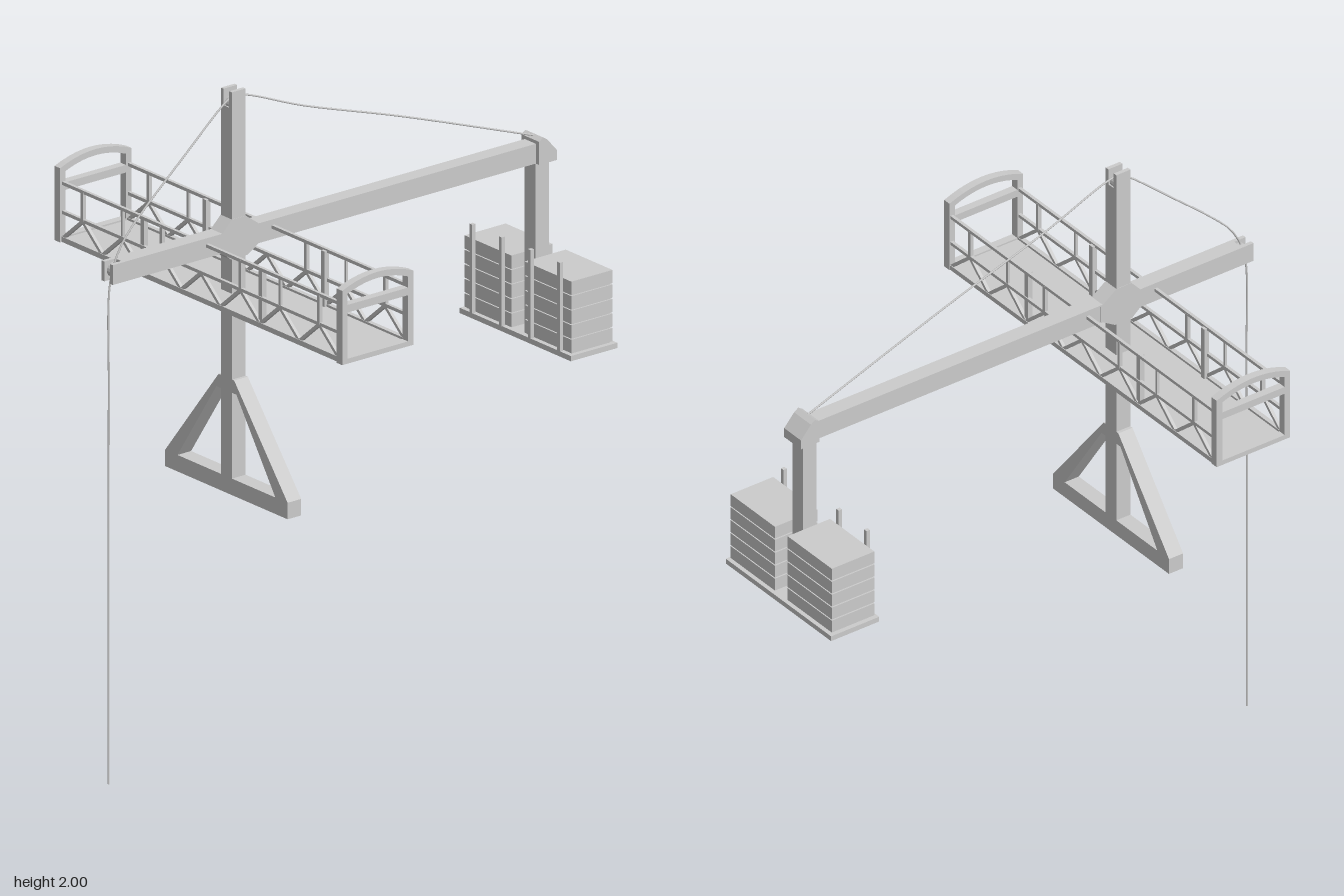
import * as THREE from 'three';

const mat = new THREE.MeshStandardMaterial({ color: 0xcccccc, flatShading: true });
const smooth = new THREE.MeshStandardMaterial({ color: 0xcccccc });
const MAST_Z = 0.37;

function add(parent, name, geo, material = mat) {
  const mesh = new THREE.Mesh(geo, material);
  mesh.name = name;
  parent.add(mesh);
  return mesh;
}

// Box given by its minimum and maximum on each axis
function box(parent, name, x0, x1, y0, y1, z0, z1) {
  const m = add(parent, name, new THREE.BoxGeometry(x1 - x0, y1 - y0, z1 - z0));
  m.position.set((x0 + x1) / 2, (y0 + y1) / 2, (z0 + z1) / 2);
  return m;
}

// Square bar in an x-y plane between two points
function bar(parent, name, ax, ay, bx, by, z, t) {
  const m = add(parent, name, new THREE.BoxGeometry(Math.hypot(bx - ax, by - ay), t, t));
  m.position.set((ax + bx) / 2, (ay + by) / 2, z);
  m.rotation.z = Math.atan2(by - ay, bx - ax);
}

const polygon = (pts) => new THREE.Shape(pts.map(([a, b]) => new THREE.Vector2(a, b)));

function extrude(shape, depth) {
  return new THREE.ExtrudeGeometry(shape, { depth, bevelEnabled: false, curveSegments: 10 })
    .translate(0, 0, -depth / 2);
}

// Profile drawn as (z, y), extruded along x
const sideExtrude = (shape, depth) => extrude(shape, depth).rotateY(-Math.PI / 2);

function sheave(parent, y, z, r) {
  const m = add(parent, 'sheave', new THREE.CylinderGeometry(r, r, 0.018, 16));
  m.rotation.z = Math.PI / 2;
  m.position.set(0, y, z);
}

function buildMast() {
  const g = new THREE.Group();
  g.name = 'mast';
  box(g, 'mastPost', -0.025, 0.025, 0.78, 1.95, MAST_Z - 0.025, MAST_Z + 0.025);
  for (const s of [-1, 1]) {
    const c = box(g, 'mastTopCheek', -0.006, 0.006, 1.95, 2, MAST_Z - 0.025, MAST_Z + 0.025);
    c.position.x = s * 0.019;
  }
  sheave(g, 1.957, MAST_Z, 0.022);

  // Triangular foot with two openings
  const foot = polygon([[-0.275, 0.78], [0.275, 0.78], [0.275, 0.83], [0.035, 1.13], [-0.035, 1.13], [-0.275, 0.83]]);
  for (const s of [-1, 1]) {
    foot.holes.push(polygon([[s * 0.025, 0.83], [s * 0.22, 0.83], [s * 0.045, 1.09], [s * 0.025, 1.09]]));
  }
  add(g, 'footFrame', extrude(foot, 0.0498)).position.z = MAST_Z;

  // Gussets joining mast and beam
  const gusset = polygon([[-0.08, 1.575], [-0.025, 1.615], [0.025, 1.615], [0.065, 1.575],
    [0.065, 1.525], [0.03, 1.495], [-0.03, 1.495], [-0.08, 1.525]]);
  add(g, 'mastGusset', sideExtrude(gusset, 0.052)).position.z = MAST_Z;
  return g;
}

function buildBeam() {
  const g = new THREE.Group();
  g.name = 'boom';
  box(g, 'boomBeam', -0.025, 0.025, 1.52, 1.58, -0.75, 0.79);
  for (const s of [-1, 1]) {
    const c = box(g, 'boomTipCheek', -0.006, 0.006, 1.52, 1.58, 0.79, 0.83);
    c.position.x = s * 0.019;
  }
  sheave(g, 1.552, 0.802, 0.022);

  // Rear corner cap and hanging post
  const cap = polygon([[-0.715, 1.52], [-0.715, 1.59], [-0.73, 1.6], [-0.745, 1.59], [-0.78, 1.55], [-0.78, 1.52]]);
  add(g, 'rearCap', sideExtrude(cap, 0.08));
  box(g, 'rearPost', -0.025, 0.025, 1.01, 1.55, -0.762, -0.714);
  return g;
}

function buildCounterweights() {
  const g = new THREE.Group();
  g.name = 'counterweights';
  box(g, 'tray', -0.25, 0.25, 1, 1.016, -0.83, -0.66);
  for (const s of [-1, 1]) {
    for (let i = 0; i < 5; i++) {
      const y = 1.016 + i * 0.044;
      const slab = box(g, 'weightSlab', -0.105, 0.105, y + 0.004, y + 0.044, -0.82, -0.67);
      const gap = box(g, 'weightSpacer', -0.1, 0.1, y, y + 0.004, -0.815, -0.675);
      slab.position.x = gap.position.x = s * 0.135;
    }
    for (const x of [0.065, 0.197]) {
      box(g, 'retainingRod', s * x - 0.006, s * x + 0.006, 1.016, 1.285, -0.67, -0.658);
    }
  }
  return g;
}

function buildPlatform() {
  const g = new THREE.Group();
  g.name = 'workPlatform';
  box(g, 'floor', -0.64, 0.64, 1.38, 1.39, 0.24, 0.49);

  // Trussed railings along both long sides
  const pitch = 1.24 / 7;
  for (const z of [0.245, 0.485]) {
    box(g, 'bottomRail', -0.63, 0.63, 1.382, 1.397, z - 0.007, z + 0.007);
    for (const y of [1.47, 1.558]) bar(g, 'rail', -0.63, y, 0.63, y, z, 0.01);
    for (let i = 0; i < 7; i++) {
      const x = (i - 3) * pitch;
      bar(g, 'brace', x - pitch / 2, 1.392, x, 1.468, z, 0.01);
      bar(g, 'brace', x, 1.468, x + pitch / 2, 1.392, z, 0.01);
      if (i % 2 === 0 || i === 3) continue;
      bar(g, 'railPost', x, 1.47, x, 1.558, z, 0.008);
    }
    for (const x of [-3, -1, 1, 3].map((k) => k * pitch)) bar(g, 'railPost', x, 1.47, x, 1.558, z, 0.011);
    for (const x of [-1.5 * pitch, 1.5 * pitch]) {
      bar(g, 'mainPost', x, 1.39, x, 1.558, z + (z < MAST_Z ? 0.006 : -0.006), 0.016);
    }
  }

  // End frames with an arched top
  const end = new THREE.Shape();
  end.moveTo(-0.13, 1.38).lineTo(0.13, 1.38).lineTo(0.13, 1.605);
  end.quadraticCurveTo(0, 1.66, -0.13, 1.605).closePath();
  end.holes.push(polygon([[-0.11, 1.395], [0.11, 1.395], [0.11, 1.535], [-0.11, 1.535]]));
  const arch = new THREE.Path();
  arch.moveTo(-0.11, 1.558).lineTo(0.11, 1.558).lineTo(0.11, 1.592);
  arch.quadraticCurveTo(0, 1.636, -0.11, 1.592).closePath();
  end.holes.push(arch);
  for (const s of [-1, 1]) {
    add(g, 'endFrame', sideExtrude(end, 0.025)).position.set(s * 0.634, 0, MAST_Z - 0.003);
  }
  return g;
}

// Cable from the ground over the boom tip and mast head to the rear cap
function buildCable() {
  const g = new THREE.Group();
  g.name = 'cable';
  const spans = [
    [[0, 0.825], [0.8, 0.825], [1.2, 0.824], [1.5, 0.822], [1.575, 0.803], [1.64, 0.765],
      [1.71, 0.695], [1.84, 0.545], [1.955, 0.41], [1.98, 0.37]],
    [[1.98, 0.37], [1.965, 0.31], [1.889, 0.12], [1.77, -0.24], [1.595, -0.73]],
  ];
  for (const span of spans) {
    const curve = new THREE.CatmullRomCurve3(span.map(([y, z]) => new THREE.Vector3(0, y, z)));
    add(g, 'cableSpan', new THREE.TubeGeometry(curve, 60, 0.003, 6), smooth);
  }
  return g;
}

export function createModel() {
  const model = new THREE.Group();
  model.name = 'suspendedPlatformRig';
  model.add(buildMast(), buildBeam(), buildCounterweights(), buildPlatform(), buildCable());
  return model;
}
